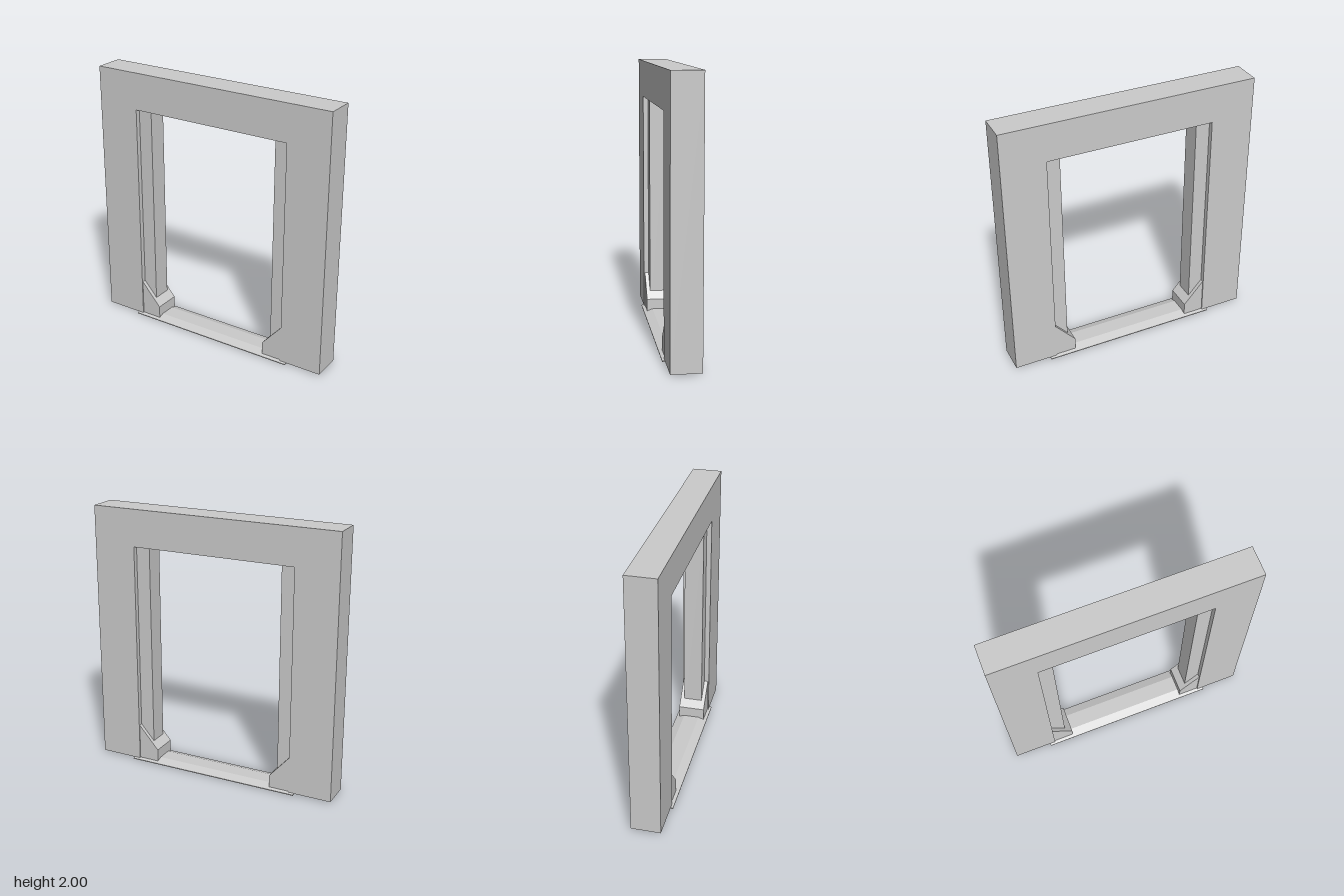
import * as THREE from 'three';

const grey = new THREE.MeshStandardMaterial({ color: 0xcccccc, flatShading: true });

// Extrudes an outline in x/y, centred on z = 0
function slab(name, points, depth) {
  const shape = new THREE.Shape(points.map(([x, y]) => new THREE.Vector2(x, y)));
  const geo = new THREE.ExtrudeGeometry(shape, { depth, bevelEnabled: false });
  geo.translate(0, 0, -depth / 2);
  const mesh = new THREE.Mesh(geo, grey);
  mesh.name = name;
  return mesh;
}

export function createModel() {
  const group = new THREE.Group();
  group.name = 'doorFrame';
  const base = 0.01, top = 2, outer = 0.962, inner = 0.633, head = 1.72;

  // Surround: two legs joined by a lintel, open at the bottom
  group.add(slab('surround', [
    [-outer, base], [-inner, base], [-inner, head], [inner, head],
    [inner, base], [outer, base], [outer, top], [-outer, top],
  ], 0.22));

  for (const [side, s] of [['left', 1], ['right', -1]]) {
    // Guide strip set back inside the opening
    const strip = new THREE.Mesh(new THREE.BoxGeometry(0.108, head - base, 0.145), grey);
    strip.position.set(s * 0.579, (head + base) / 2, 0);
    strip.name = side + 'GuideStrip';
    group.add(strip);

    // Chamfered block at the foot of the strip
    const foot = [[inner, base], [inner, 0.29], [0.475, 0.11], [0.475, base]];
    group.add(slab(side + 'FootBlock', foot.map(([x, y]) => [s * x, y]), 0.204));
  }

  // Threshold: low plate with sloped front and back edges
  const sill = slab('threshold', [
    [-0.127, 0], [0.127, 0], [0.127, 0.006], [0.06, 0.03], [-0.06, 0.03], [-0.127, 0.006],
  ], 1.36);
  sill.rotation.y = Math.PI / 2;
  sill.position.x = 0.004;
  group.add(sill);

  return group;
}
